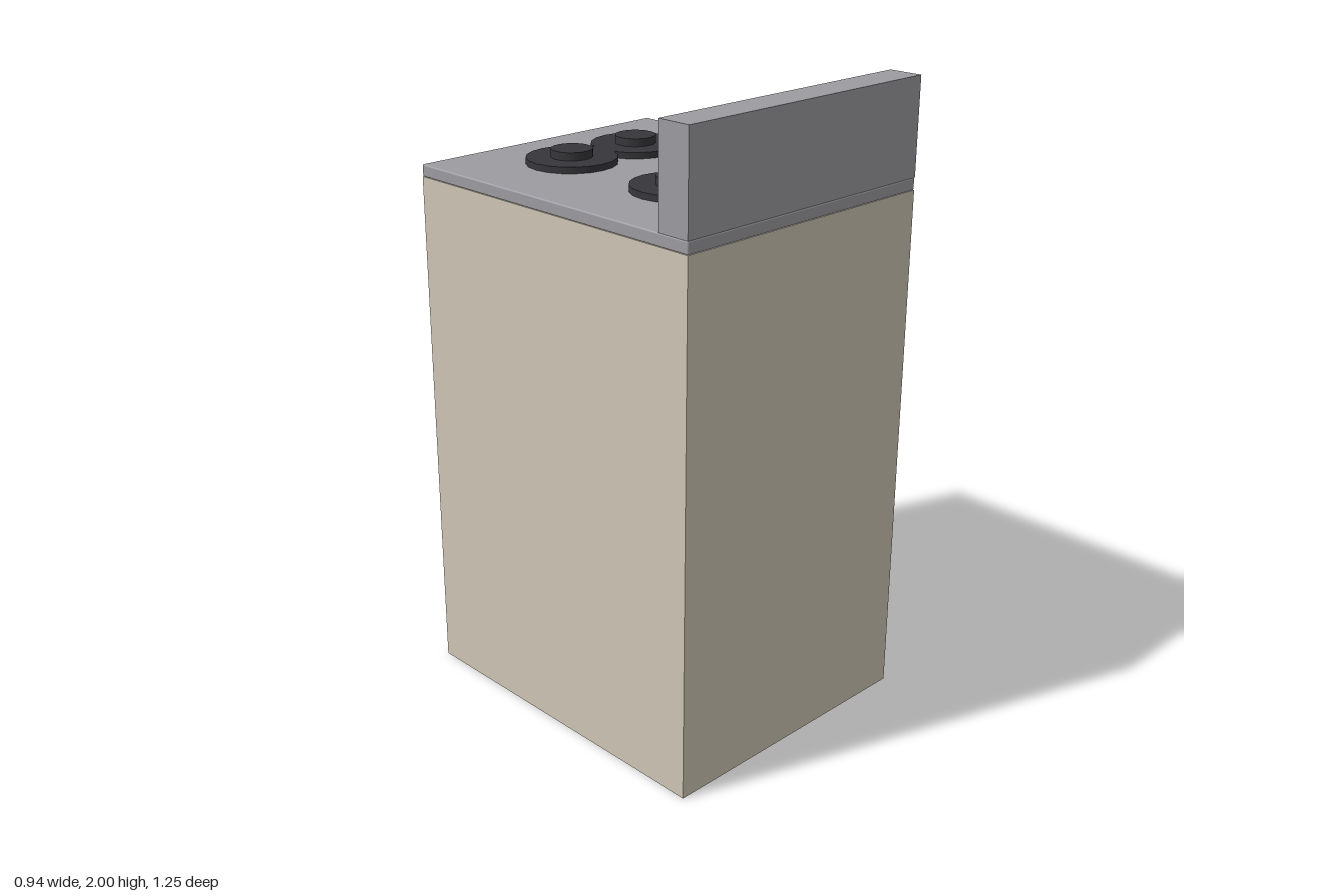
import * as THREE from 'three';
import { RoundedBoxGeometry } from 'three/addons/geometries/RoundedBoxGeometry.js';

function material(name, color) {
  const m = new THREE.MeshStandardMaterial({ color });
  m.name = name;
  return m;
}

export function createModel() {
  const cream = material('cream enamel', 0xcfc6b5);
  const steel = material('grey steel', 0x9b9ba1);
  const dark = material('dark iron', 0x37373b);
  const green = material('green cloth', 0x73824f);

  const model = new THREE.Group();
  model.name = 'cooker';

  function add(name, geometry, mat, parent = model) {
    const mesh = new THREE.Mesh(geometry, mat);
    mesh.name = name;
    parent.add(mesh);
    return mesh;
  }

  // Box given by its limits on each axis, with an optional softened edge
  function box(name, mat, [x0, x1], [y0, y1], [z0, z1], radius = 0, parent = model) {
    const size = [x1 - x0, y1 - y0, z1 - z0];
    const geometry = radius
      ? new RoundedBoxGeometry(...size, 2, radius)
      : new THREE.BoxGeometry(...size);
    const mesh = add(name, geometry, mat, parent);
    mesh.position.set((x0 + x1) / 2, (y0 + y1) / 2, (z0 + z1) / 2);
    return mesh;
  }

  // Cabinet, hob plate and upright splashback
  box('cabinet', cream, [-0.47, 0.47], [0, 1.662], [-0.504, 0.626]);
  box('hobPlate', steel, [-0.47, 0.47], [1.662, 1.7], [-0.504, 0.626], 0.005);
  box('splashback', steel, [-0.47, 0.47], [1.7, 2], [0.516, 0.626]);

  // Four burners, each a wide disc with a raised cap
  for (const z of [-0.205, 0.248]) {
    for (const x of [-0.132, 0.132]) {
      const burner = new THREE.Group();
      burner.name = 'burner';
      burner.position.set(x, 1.7, z);
      model.add(burner);
      add('burnerDisc', new THREE.CylinderGeometry(0.14, 0.14, 0.02, 20), dark, burner).position.y = 0.01;
      add('burnerCap', new THREE.CylinderGeometry(0.064, 0.064, 0.025, 20), dark, burner).position.y = 0.0325;
    }
  }

  // Oven door and window on the -z side
  box('ovenDoor', steel, [-0.413, 0.413], [0.195, 1.247], [-0.542, -0.504], 0.005);
  box('ovenWindow', dark, [-0.28, 0.28], [0.573, 1.057], [-0.551, -0.542]);

  // Handle bar on two short brackets
  const handle = new THREE.Group();
  handle.name = 'doorHandle';
  model.add(handle);
  box('handleBar', steel, [-0.358, 0.358], [1.157, 1.2], [-0.62, -0.587], 0.006, handle);
  for (const side of [-1, 1]) {
    const x = side * 0.328;
    box('handleBracket', steel, [x - 0.01, x + 0.01], [1.159, 1.198], [-0.59, -0.54], 0, handle);
    box('bracketFoot', steel, [x - 0.016, x + 0.016], [1.157, 1.2], [-0.55, -0.54], 0, handle);
  }

  // Towel hung over the handle
  box('towel', green, [-0.151, 0.206], [0.683, 1.209], [-0.627, -0.591], 0.007);

  // Control knobs: flared base, narrow neck and wide grip
  const knobProfile = [
    [0, 0], [0.019, 0], [0.019, 0.008], [0.012, 0.02], [0.015, 0.032],
    [0.033, 0.044], [0.035, 0.055], [0.026, 0.065], [0, 0.067],
  ].map(([r, y]) => new THREE.Vector2(r, y));
  const knobGeometry = new THREE.LatheGeometry(knobProfile, 14);
  knobGeometry.rotateX(-Math.PI / 2);
  for (let i = 0; i < 4; i++) {
    add('knob', knobGeometry, dark).position.set(-0.285 + i * 0.19, 1.475, -0.504);
  }

  return model;
}
